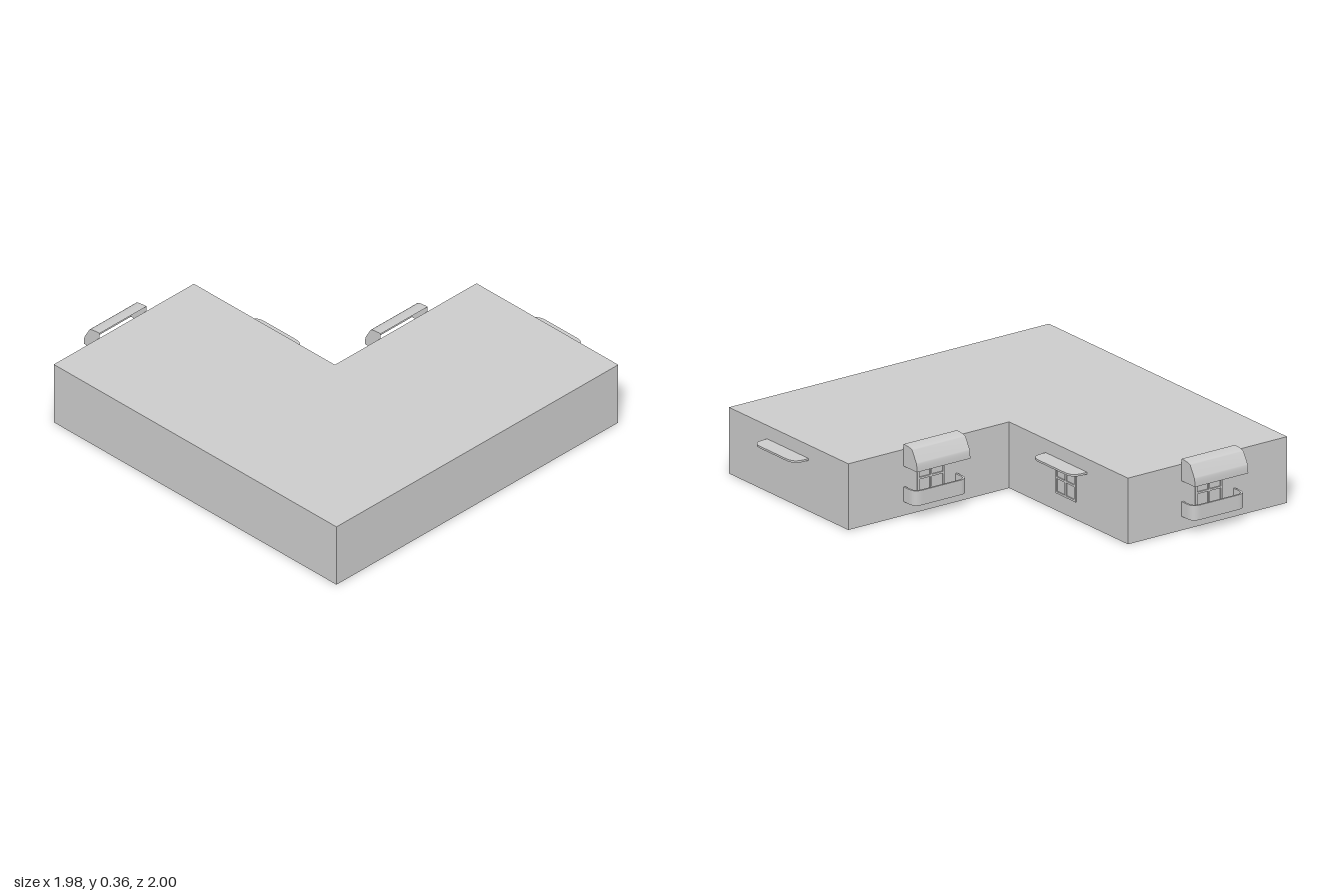
import * as THREE from 'three';

const material = new THREE.MeshStandardMaterial({ color: 0xcccccc, side: THREE.DoubleSide });
const HEIGHT = 0.335;

function addMesh(parent, name, geometry) {
  const mesh = new THREE.Mesh(geometry, material);
  mesh.name = name;
  parent.add(mesh);
  return mesh;
}

// Open strip that follows a 2D path in x/y and runs along z.
function ribbon(path, depth, smooth) {
  const positions = [], index = [];
  path.forEach((p, i) => {
    positions.push(p.x, p.y, 0, p.x, p.y, depth);
    const a = i * 2;
    if (i < path.length - 1) index.push(a, a + 2, a + 1, a + 1, a + 2, a + 3);
  });
  let geometry = new THREE.BufferGeometry();
  geometry.setAttribute('position', new THREE.Float32BufferAttribute(positions, 3));
  geometry.setIndex(index);
  if (!smooth) geometry = geometry.toNonIndexed();
  geometry.computeVertexNormals();
  return geometry;
}

// Plan outline with rounded outer corners; y points away from the wall.
function roundedPlan(width, depth, r) {
  const w = width / 2;
  const shape = new THREE.Shape();
  shape.moveTo(-w, 0);
  shape.lineTo(-w, depth - r);
  shape.quadraticCurveTo(-w, depth, -w + r, depth);
  shape.lineTo(w - r, depth);
  shape.quadraticCurveTo(w, depth, w, depth - r);
  shape.lineTo(w, 0);
  return shape;
}

// L-shaped hall: flat roof and walls, open underneath.
function createBuilding() {
  const building = new THREE.Group();
  building.name = 'building';
  const plan = [[-0.99, -1], [0.9, -1], [0.9, -0.05], [-0.05, -0.05], [-0.05, 0.895], [-0.99, 0.895]]
    .map(([x, y]) => new THREE.Vector2(x, y));
  const roof = new THREE.ShapeGeometry(new THREE.Shape(plan));
  addMesh(building, 'roof', roof.rotateX(-Math.PI / 2).translate(0, HEIGHT, 0));
  const walls = ribbon([...plan, plan[0]], HEIGHT, false);
  addMesh(building, 'walls', walls.rotateX(-Math.PI / 2));
  return building;
}

// Slim glazing bars lying almost flush with the wall.
function addWindowBars(parent) {
  for (const x of [-0.075, 0, 0.075]) {
    addMesh(parent, 'windowUpright', new THREE.BoxGeometry(0.01, 0.16, 0.008).translate(x, 0.17, 0.002));
  }
  for (const y of [0.095, 0.17, 0.245]) {
    addMesh(parent, 'windowCrossbar', new THREE.BoxGeometry(0.16, 0.01, 0.008).translate(0, y, 0.002));
  }
}

// Window with a hollow awning and a curved guard rail, facing local +z.
function createAwningWindow() {
  const unit = new THREE.Group();
  unit.name = 'awningWindow';
  const width = 0.315;

  const profile = new THREE.Shape();
  profile.moveTo(0, 0.362);
  profile.quadraticCurveTo(0.055, 0.36, 0.068, 0.35);
  profile.lineTo(0.1, 0.295);
  profile.quadraticCurveTo(0.105, 0.285, 0.105, 0.25);
  const cover = ribbon(profile.getPoints(6), width, true);
  addMesh(unit, 'awningCover', cover.rotateY(-Math.PI / 2).translate(width / 2, 0, 0));
  profile.lineTo(0, 0.25);
  for (const side of [-1, 1]) {
    const end = new THREE.ShapeGeometry(profile, 6).rotateY(-Math.PI / 2);
    addMesh(unit, 'awningEnd', end.translate(side * width / 2, 0, 0));
  }

  // Guard rail: a thin upright strip bent around the opening.
  const outer = roundedPlan(0.315, 0.088, 0.045).getPoints(8);
  const inner = roundedPlan(0.295, 0.078, 0.038).getPoints(8).reverse();
  const rail = new THREE.ExtrudeGeometry(new THREE.Shape([...outer, ...inner]), { depth: 0.075, bevelEnabled: false });
  addMesh(unit, 'guardRail', rail.rotateX(Math.PI / 2).translate(0, 0.145, 0));

  addWindowBars(unit);
  return unit;
}

// Window under a thin rounded ledge, facing local +z.
function createLedgeWindow(withBars) {
  const unit = new THREE.Group();
  unit.name = 'ledgeWindow';
  const ledge = new THREE.ExtrudeGeometry(roundedPlan(0.33, 0.087, 0.06),
    { depth: 0.01, bevelEnabled: false, curveSegments: 8 });
  addMesh(unit, 'ledge', ledge.rotateX(Math.PI / 2).translate(0, 0.267, 0));
  if (withBars) addWindowBars(unit);
  return unit;
}

export function createModel() {
  const model = new THREE.Group();
  model.name = 'lShapedBuilding';
  model.add(createBuilding());

  // Awning windows on the two rear walls
  for (const [x, z] of [[-0.525, -0.895], [0.415, 0.05]]) {
    const unit = createAwningWindow();
    unit.position.set(x, 0, z);
    unit.rotation.y = Math.PI;
    model.add(unit);
  }

  // Ledge windows on the two walls facing +x
  for (const [x, z, bars] of [[-0.05, -0.405, true], [0.9, 0.53, false]]) {
    const unit = createLedgeWindow(bars);
    unit.position.set(x, 0, z);
    unit.rotation.y = Math.PI / 2;
    model.add(unit);
  }
  return model;
}
